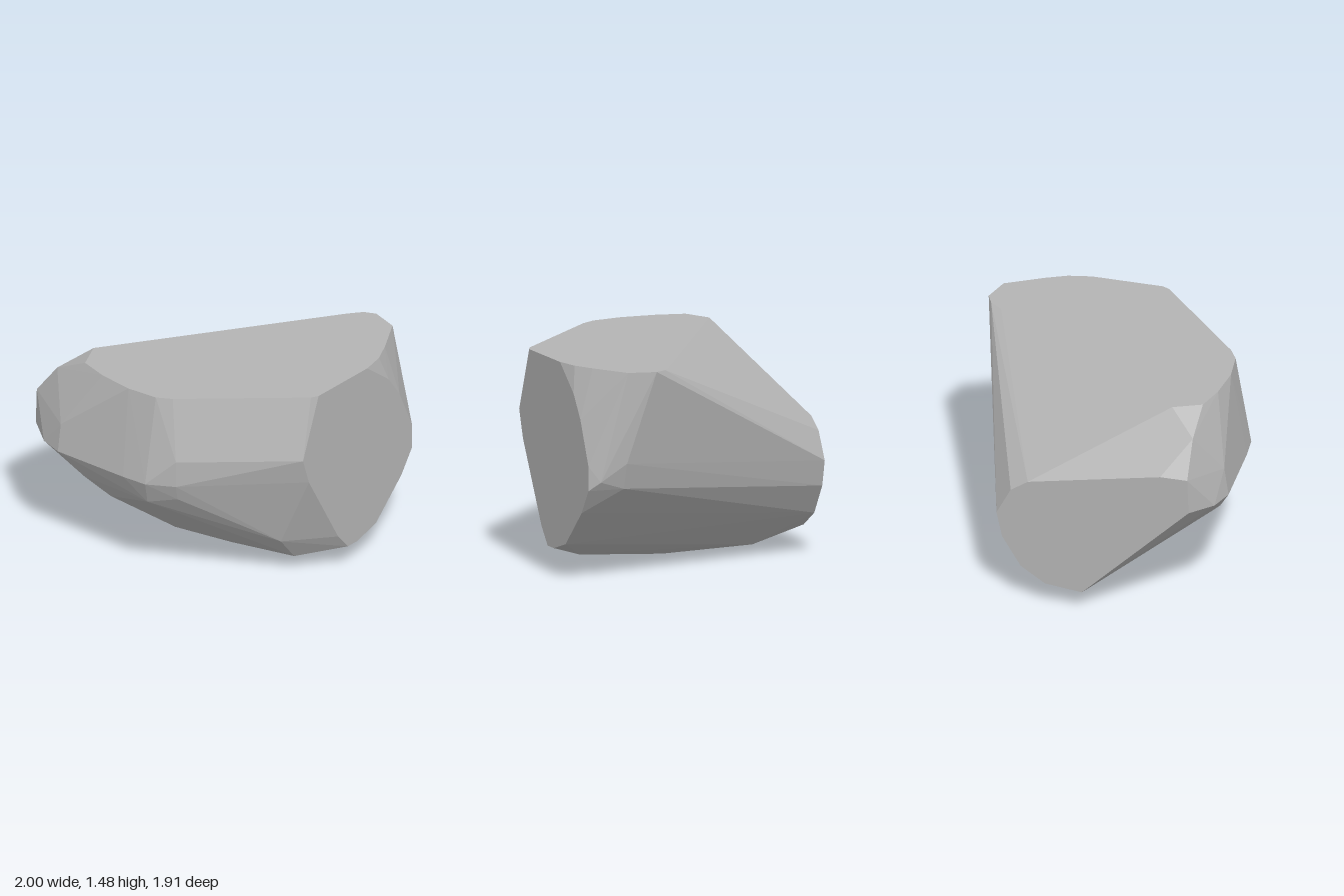
import * as THREE from 'three';
import { ConvexGeometry } from 'three/addons/geometries/ConvexGeometry.js';

// Cut planes of the rock
const TOP = 1.48, FRONT = 0.955, BACK = -0.955;

// Flat top outline [x, z]
const topOutline = [
  [-0.1, FRONT], [0.4, FRONT], [0.56, 0.92], [0.7, 0.85], [0.95, 0.7], [1, 0.51],
  [0.96, 0.43], [0.87, 0.36], [-0.61, -0.62], [-0.8, -0.53], [-0.85, -0.33],
  [-0.87, -0.08], [-0.84, 0.14], [-0.78, 0.24], [-0.15, 0.93],
];

// Flat front outline [x, y]
const frontOutline = [
  [-0.26, 1.04], [-0.2, 0.85], [0.1, 0.3], [0.2, 0.18], [0.3, 0.18], [0.49, 0.24],
  [0.75, 0.5], [0.86, 0.67], [0.86, 0.84], [0.73, 1.14], [0.62, 1.3],
];

// Flat back outline [x, y]
const backOutline = [
  [0.53, 0.67], [0.43, 0.86], [0.31, 0.94], [-0.62, 1.12], [-0.81, 1.12], [-0.82, 0.87],
  [-0.07, 0.14], [0.19, 0.17], [0.36, 0.28], [0.49, 0.49],
];

// Corners of the worn facets between the flat cuts [x, y, z]
const sideCorners = [
  [-0.8, 1.35, -0.78], [-0.97, 1.05, -0.6], [-0.95, 0.85, -0.77], [-1, 0.85, -0.6],
  [-0.97, 0.85, -0.04], [-0.95, 0.85, 0.14], [-0.84, 1.04, 0.32], [-0.84, 0.85, 0.32],
  [-0.8, 0.73, 0.3], [-0.9, 0.67, -0.45], [-0.88, 0.67, 0.1], [-0.8, 0.53, -0.3],
  [0.93, 0.85, 0.7], [0.88, 0.67, 0.7], [0.9, 0.73, 0.88],
];
const undersideCorners = [
  [-0.06, 0, -0.04], [-0.05, 0.01, 0.13], [0.13, 0.05, -0.6], [-0.25, 0.09, -0.2],
  [-0.22, 0.31, 0.72], [-0.06, 0.12, 0.7], [0.15, 0.09, 0.7],
];

export function createModel() {
  const stone = new THREE.MeshStandardMaterial({ color: 0xb4b4b4, flatShading: true });
  stone.name = 'grey stone';

  const corners = [
    ...topOutline.map(([x, z]) => [x, TOP, z]),
    ...frontOutline.map(([x, y]) => [x, y, FRONT]),
    ...backOutline.map(([x, y]) => [x, y, BACK]),
    ...sideCorners,
    ...undersideCorners,
  ].map((p) => new THREE.Vector3(...p));

  // Faceted boulder wrapped around its corners
  const rock = new THREE.Mesh(new ConvexGeometry(corners), stone);
  rock.name = 'rock';

  const model = new THREE.Group();
  model.name = 'cutRock';
  model.add(rock);
  return model;
}
